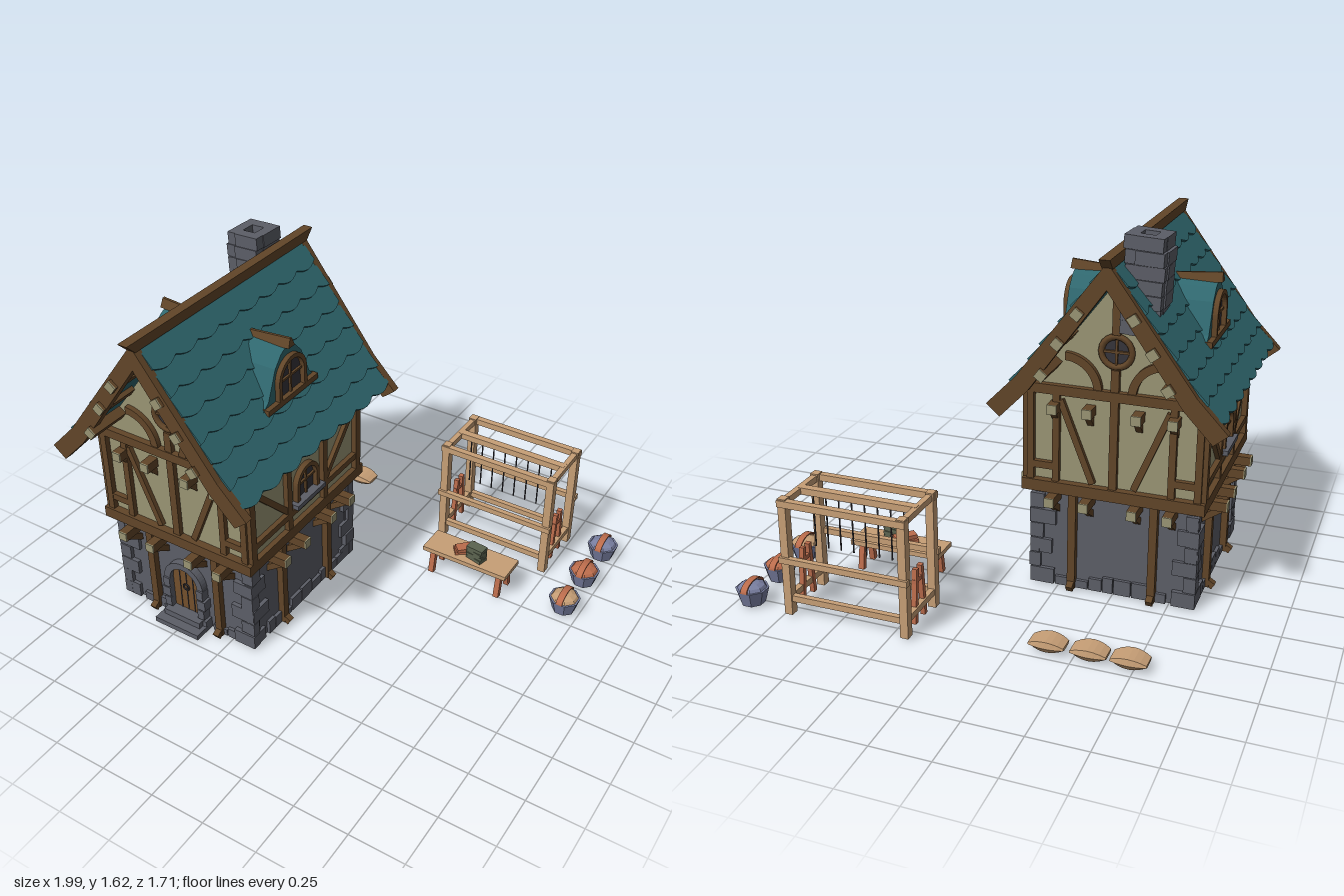
import * as THREE from 'three';

const M = {};
const paint = (name, hex) => { M[name] = new THREE.MeshStandardMaterial({ color: hex }); M[name].name = name; };
[['plaster', 0x9a9574], ['darkWood', 0x614528], ['stone', 0x5c5e67], ['roofTeal', 0x2f676e], ['paleWood', 0xc79f76],
  ['terracotta', 0xbb6c4c], ['slateBlue', 0x7a80a2], ['darkGlass', 0x36343a], ['moss', 0x5b6450], ['doorWood', 0x73502c]]
  .forEach(([n, h]) => paint(n, h));

let seed = 7;
const rnd = (a, b) => { seed = (seed * 16807) % 2147483647; return a + (b - a) * seed / 2147483647; };

function group(parent, name, x = 0, y = 0, z = 0, ry = 0) {
  const g = new THREE.Group();
  g.name = name; g.position.set(x, y, z); g.rotation.y = ry;
  parent.add(g);
  return g;
}
function add(parent, name, geo, mat, x = 0, y = 0, z = 0) {
  const m = new THREE.Mesh(geo, mat);
  m.name = name; m.position.set(x, y, z);
  parent.add(m);
  return m;
}
const box = (p, n, mat, w, h, d, x, y, z) => add(p, n, new THREE.BoxGeometry(w, h, d), mat, x, y, z);
const extrude = (shape, depth) => new THREE.ExtrudeGeometry(shape, { depth, bevelEnabled: false, curveSegments: 10 });
const poly = pts => new THREE.Shape(pts.map(p => new THREE.Vector2(p[0], p[1])));
const mirrored = pts => poly([...pts, ...pts.slice().reverse().filter(p => p[0] !== 0).map(p => [-p[0], p[1]])]);
const flat = g => { const f = g.toNonIndexed(); f.computeVertexNormals(); return f; };

// Straight timber between two points of a wall face
function beam(p, n, x1, y1, x2, y2, w, z, d = 0.03, mat = M.darkWood) {
  const m = box(p, n, mat, Math.hypot(x2 - x1, y2 - y1), w, d, (x1 + x2) / 2, (y1 + y2) / 2, z);
  m.rotation.z = Math.atan2(y2 - y1, x2 - x1);
}
// Rod of square section between two points in space
function rod(p, n, mat, a, b, t) {
  const A = new THREE.Vector3(...a), B = new THREE.Vector3(...b), d = B.clone().sub(A);
  const m = box(p, n, mat, t, d.length(), t, 0, 0, 0);
  m.position.copy(A).add(B).multiplyScalar(0.5);
  m.quaternion.setFromUnitVectors(new THREE.Vector3(0, 1, 0), d.normalize());
}
const arch = (w, h, S = THREE.Shape) => {
  const s = new S();
  s.moveTo(-w, 0); s.lineTo(w, 0); s.lineTo(w, h); s.absarc(0, h, w, 0, Math.PI, false); s.lineTo(-w, 0);
  return s;
};
const ring = (r1, r2, a, b) => {
  const s = new THREE.Shape();
  s.absarc(0, 0, r2, a, b, false); s.absarc(0, 0, r1, b, a, true); s.closePath();
  return s;
};
function archFrame(p, n, mat, w, h, t, depth, y, z) {
  const s = arch(w, h);
  s.holes.push(arch(w - t, h, THREE.Path));
  add(p, n, extrude(s, depth), mat, 0, y, z);
}
function archWindow(p, w, h, y, z) {
  const g = group(p, 'archedWindow', 0, y, z);
  archFrame(g, 'windowFrame', M.darkWood, w, h, 0.02, 0.03, 0, 0);
  add(g, 'glass', new THREE.ShapeGeometry(arch(w - 0.015, h)), M.darkGlass, 0, 0, 0.008);
  box(g, 'mullion', M.darkWood, 0.01, h + w - 0.01, 0.012, 0, (h + w) / 2, 0.012);
  box(g, 'transom', M.darkWood, 2 * w - 0.02, 0.01, 0.012, 0, h, 0.012);
}
// Joist end with pale cut face and a brace below
function joist(p, x, y, z0, z1) {
  const g = group(p, 'joist', x, y, 0);
  box(g, 'joistBeam', M.darkWood, 0.042, 0.042, z1 - z0, 0, 0, (z0 + z1) / 2);
  box(g, 'joistEnd', M.plaster, 0.042, 0.042, 0.006, 0, 0, z1 + 0.003);
  rod(g, 'joistBrace', M.darkWood, [0, -0.075, z0 - 0.01], [0, -0.015, z1 - 0.025], 0.028);
}

// Ground-floor face: posts, joists, corner stones and base stones
function stoneFace(p, half, z, out) {
  for (const s of [-1, 1]) {
    box(p, 'groundPost', M.darkWood, 0.035, 0.46, 0.04, s * 0.18, 0.23, z + 0.01);
    rod(p, 'postFoot', M.darkWood, [s * 0.18, 0.005, z + 0.05], [s * 0.18, 0.035, z], 0.03);
    for (const x of [0.105, 0.257]) joist(p, s * x, 0.435, z, out);
    for (let i = 0; i < 6; i++) {
      const w = (i % 2 ? 0.055 : 0.1) + rnd(-0.015, 0.02), h = rnd(0.062, 0.072);
      box(p, 'cornerStone', M.stone, w, h, 0.04, s * (half + 0.012 - w / 2), 0.035 + i * 0.072, z - 0.006 + rnd(0, 0.008));
    }
  }
  for (let x = -half + 0.1; x < half - 0.12;) {
    const w = rnd(0.045, 0.085), h = rnd(0.03, 0.075);
    if (Math.abs(x + w / 2) > 0.13 || half > 0.37 || p.name === 'backWall') box(p, 'baseStone', M.stone, w - 0.005, h, 0.09, x + w / 2, h / 2, z - 0.03);
    x += w;
  }
}
// Timber frame of a gable end
function gableFace(p, z) {
  beam(p, 'tieBeam', -0.385, 0.925, 0.385, 0.925, 0.042, z, 0.04);
  beam(p, 'centrePost', 0, 0.5, 0, 1.04, 0.035, z);
  beam(p, 'kingPost', 0, 1.19, 0, 1.43, 0.035, z);
  for (const s of [-1, 1]) {
    beam(p, 'stud', s * 0.252, 0.5, s * 0.252, 0.91, 0.03, z);
    beam(p, 'cornerPost', s * 0.365, 0.5, s * 0.365, 0.91, 0.03, z, 0.035);
    beam(p, 'brace', s * 0.235, 0.88, s * 0.09, 0.52, 0.028, z - 0.003);
    beam(p, 'shortRail', s * 0.25, 0.577, s * 0.37, 0.577, 0.032, z);
    const curve = add(p, 'curvedBrace', extrude(ring(0.125, 0.16, 0, Math.PI / 2), 0.03), M.darkWood, s * 0.215, 0.935, z - 0.015);
    if (s > 0) { curve.rotation.y = Math.PI; curve.position.z = z + 0.015; }
    for (const x of [0.105, 0.257]) joist(p, s * x, 0.85, z - 0.02, z + 0.055);
    for (const [x, y] of [[0.115, 1.31], [0.195, 1.18], [0.262, 1.04]]) {
      const purlin = group(p, 'purlin', s * x, y, 0);
      purlin.rotation.z = -s * 0.93;
      box(purlin, 'purlinBeam', M.darkWood, 0.042, 0.042, 0.19, 0, 0, z + 0.085);
      box(purlin, 'purlinEnd', M.plaster, 0.042, 0.042, 0.006, 0, 0, z + 0.183);
    }
  }
  // Round window
  add(p, 'roundWindowFrame', new THREE.TorusGeometry(0.065, 0.014, 6, 20), M.darkWood, 0, 1.115, z);
  add(p, 'roundGlass', new THREE.CircleGeometry(0.065, 20), M.darkGlass, 0, 1.115, z - 0.006);
  box(p, 'roundMullion', M.darkWood, 0.01, 0.125, 0.012, 0, 1.115, z);
  box(p, 'roundTransom', M.darkWood, 0.125, 0.01, 0.012, 0, 1.115, z);
}
// Timber frame of a long wall
function sideFace(p, z) {
  beam(p, 'sideRail', -0.42, 0.583, 0.42, 0.583, 0.03, z);
  for (const s of [-1, 1]) {
    beam(p, 'sideCornerPost', s * 0.407, 0.5, s * 0.407, 0.9, 0.036, z, 0.035);
    beam(p, 'sideStud', s * 0.138, 0.5, s * 0.138, 0.9, 0.032, z);
    beam(p, 'sideBrace', s * 0.39, 0.86, s * 0.15, 0.61, 0.028, z - 0.003);
  }
  archWindow(p, 0.085, 0.08, 0.612, z - 0.012);
  box(p, 'windowSill', M.stone, 0.215, 0.022, 0.045, 0, 0.608, z + 0.012);
}

// One roof slope of overlapping scalloped rows, with its dormer
function roofSlope(p) {
  const path = [[0, 1.5], [0.36, 1.02], [0.455, 0.905]].map(a => new THREE.Vector2(...a));
  const l1 = path[0].distanceTo(path[1]), total = l1 + path[1].distanceTo(path[2]), rows = 7, step = total / rows;
  const at = s => s < l1 ? path[0].clone().lerp(path[1], s / l1) : path[1].clone().lerp(path[2], (s - l1) / (total - l1));
  const Z = new THREE.Vector3(0, 0, 1), L = 0.555, n = 8, tile = 2 * L / n;
  for (let i = 0; i < rows; i++) {
    const a = at(i * step), b = at((i + 1) * step);
    const down = new THREE.Vector3(b.x - a.x, b.y - a.y, 0).normalize();
    const normal = new THREE.Vector3().crossVectors(Z, down);
    down.addScaledVector(normal, 0.1).normalize();
    normal.crossVectors(Z, down);
    const s = new THREE.Shape();
    s.moveTo(-L, 0); s.lineTo(L, 0);
    const N = n * 6;
    for (let k = 0; k <= N; k++) {
      const t = k / N * n + (i % 2) * 0.5;
      s.lineTo(L - k / N * n * tile, step - 0.004 + 0.022 * Math.abs(Math.sin(t * Math.PI)));
    }
    const m = add(p, 'shingleRow', extrude(s, 0.012), M.roofTeal);
    m.applyMatrix4(new THREE.Matrix4().makeBasis(Z, down, normal).setPosition(a.x, a.y, 0));
  }
  const d = group(p, 'dormer', 0, 0, 0, Math.PI / 2);
  const hood = mirrored([[0.215, 1.09], [0.15, 1.14], [0.12, 1.21], [0.095, 1.27], [0.05, 1.32], [0, 1.345]]);
  add(d, 'dormerHood', extrude(hood, 0.22), M.roofTeal, 0, 0, 0.095);
  archWindow(d, 0.1, 0.085, 1.115, 0.308);
  box(d, 'dormerSill', M.darkWood, 0.36, 0.026, 0.04, 0, 1.108, 0.318);
  const cap = add(d, 'dormerRidge', extrude(poly([[-0.022, 0], [0.022, 0], [0.006, 0.04], [-0.006, 0.04]]), 0.21), M.darkWood, 0, 1.32, 0.125);
  cap.rotation.x = -0.08;
}

function buildHouse(root) {
  const h = group(root, 'house', -0.495, 0, 0.23);
  for (const s of [-1, 1]) {
    box(h, 'stoneWall', M.stone, 0.72, 0.46, 0.04, 0, 0.23, s * 0.37);
    box(h, 'stoneSideWall', M.stone, 0.04, 0.46, 0.71, s * 0.335, 0.23, 0);
    box(h, 'bandBeam', M.darkWood, 0.8, 0.052, 0.05, 0, 0.484, s * 0.42);
    box(h, 'bandSideBeam', M.darkWood, 0.05, 0.052, 0.89, s * 0.375, 0.484, 0);
  }
  // Plastered upper floor and gables in one body
  add(h, 'upperWalls', extrude(mirrored([[0.375, 0.46], [0.375, 0.92], [0, 1.42]]), 0.82), M.plaster, 0, 0, -0.41);
  for (const [n, ry] of [['front', 0], ['back', Math.PI]]) {
    const g = group(h, n + 'Wall', 0, 0, 0, ry);
    stoneFace(g, 0.36, 0.39, 0.497);
    gableFace(g, 0.418);
    // Bargeboards
    const board = mirrored([[0, 1.52], [0.38, 1.015], [0.505, 0.885], [0.445, 0.835], [0.325, 0.965], [0, 1.415]].slice(0, 3));
    const edge = [[0, 1.525], [0.375, 1.02], [0.505, 0.885], [0.445, 0.835], [0.325, 0.96], [0, 1.415],
      [-0.325, 0.96], [-0.445, 0.835], [-0.505, 0.885], [-0.375, 1.02]];
    if (board) add(g, 'bargeboard', extrude(poly(edge), 0.038), M.darkWood, 0, 0, 0.546);
  }
  for (const [n, ry] of [['left', 0], ['right', Math.PI]]) {
    const g = group(h, n + 'Side', 0, 0, 0, ry + Math.PI / 2);
    stoneFace(g, 0.395, 0.355, 0.457);
    sideFace(g, 0.383);
    roofSlope(group(h, n + 'Roof', 0, 0, 0, ry));
  }
  const deck = [[0, 1.5], [0.36, 1.015], [0.455, 0.9], [0.43, 0.88], [0.335, 0.99], [0, 1.44],
    [-0.335, 0.99], [-0.43, 0.88], [-0.455, 0.9], [-0.36, 1.015]];
  add(h, 'roofDeck', extrude(poly(deck), 1.1), M.roofTeal, 0, 0, -0.55);
  const ridge = group(h, 'ridge', 0, 0, 0, Math.PI / 2);
  add(ridge, 'ridgeBeam', extrude(poly([[-0.58, 1.5], [0.58, 1.5], [0.625, 1.545], [-0.625, 1.545]]), 0.045), M.darkWood, 0, 0, -0.0225);

  // Door, surround and steps
  const d = group(h, 'entrance', 0, 0, 0.39);
  archFrame(d, 'doorSurround', M.stone, 0.107, 0.225, 0.032, 0.035, 0, 0);
  for (let i = 0; i < 4; i++) for (const s of [-1, 1])
    box(d, 'jambStone', M.stone, i % 2 ? 0.035 : 0.045, 0.05, 0.045, s * (i % 2 ? 0.092 : 0.097), 0.03 + i * 0.056, 0.02);
  add(d, 'door', extrude(arch(0.076, 0.225), 0.012), M.doorWood);
  for (const x of [-0.036, 0, 0.036]) box(d, 'plankGap', M.darkGlass, 0.004, 0.24, 0.004, x, 0.165, 0.013);
  add(d, 'doorRing', new THREE.TorusGeometry(0.016, 0.004, 5, 12), M.darkGlass, 0, 0.19, 0.017);
  box(d, 'upperStep', M.stone, 0.2, 0.055, 0.075, 0, 0.0275, 0.03);
  box(d, 'lowerStep', M.stone, 0.24, 0.025, 0.115, 0, 0.0125, 0.052);

  // Hollow, slightly leaning chimney laid in courses
  const c = group(h, 'chimney', -0.095, 1.2, -0.37);
  c.rotation.z = 0.05;
  for (let i = 0; i < 7; i++) {
    const course = group(c, 'chimneyCourse', rnd(-0.005, 0.005), 0.029 + i * 0.058, 0, (i % 2) * Math.PI / 2 + rnd(-0.04, 0.04));
    for (let k = 0; k < 4; k++) {
      const side = group(course, 'chimneySide', 0, 0, 0, k * Math.PI / 2);
      box(side, 'chimneyStone', M.stone, 0.118, 0.056, 0.05, 0.02, 0, 0.058 + rnd(-0.002, 0.004));
    }
  }
}

function buildRack(root) {
  const r = group(root, 'dryingRack', 0.455, 0, -0.67);
  for (const sx of [-1, 1]) {
    for (const sz of [-1, 1]) box(r, 'rackPost', M.paleWood, 0.036, 0.535, 0.04, sx * 0.27, 0.2675, sz * 0.135);
    for (const y of [0.075, 0.515]) box(r, 'endRail', M.paleWood, 0.026, 0.028, 0.29, sx * 0.27, y, 0);
    for (const s of [-1, 1]) rod(r, 'trestleLeg', M.terracotta, [sx * 0.265, 0.01, s * 0.045], [sx * 0.265, 0.255, s * 0.022], 0.022);
    box(r, 'trestleBar', M.terracotta, 0.018, 0.018, 0.08, sx * 0.265, 0.2, 0);
    box(r, 'longTopRail', M.paleWood, 0.58, 0.03, 0.03, 0, 0.515, sx * 0.145);
    box(r, 'longMiddleRail', M.paleWood, 0.59, 0.027, 0.025, 0, 0.257, sx * 0.153);
    box(r, 'longBottomRail', M.paleWood, 0.53, 0.028, 0.025, 0, 0.075, sx * 0.135);
  }
  box(r, 'centreRail', M.paleWood, 0.55, 0.03, 0.036, 0, 0.515, 0);
  for (let i = 0; i < 8; i++) box(r, 'cord', M.darkGlass, 0.005, 0.25, 0.005, -0.21 + i * 0.06, 0.385, 0);
}

function buildBench(root) {
  const b = group(root, 'bench', 0.452, 0, -0.3);
  box(b, 'benchTop', M.paleWood, 0.43, 0.022, 0.145, 0, 0.133, 0);
  for (const x of [-0.172, 0.172]) {
    for (const s of [-1, 1]) rod(b, 'benchLeg', M.terracotta, [x, 0, s * 0.055], [x, 0.122, s * 0.035], 0.026);
    box(b, 'benchStretcher', M.terracotta, 0.018, 0.018, 0.08, x, 0.09, 0);
  }
  const bundle = (mat, w, d, x, y, z, ry) => { box(b, 'foldedCloth', mat, w, 0.017, d, x, y, z).rotation.y = ry; };
  for (let i = 0; i < 2; i++) bundle(M.terracotta, 0.1, 0.05, -0.03 + i * 0.008, 0.153 + i * 0.018, 0.0, 0.65 + i * 0.15);
  for (let i = 0; i < 4; i++) bundle(M.moss, 0.085, 0.05, 0.04, 0.153 + i * 0.018, 0.02, -0.25 + (i % 2) * 0.15);
}

function buildBucket(root, z, fill) {
  const b = group(root, 'bucket', 0.925, 0, z);
  add(b, 'bucketBody', flat(new THREE.CylinderGeometry(0.073, 0.053, 0.07, 8).rotateY(Math.PI / 8)), M.slateBlue, 0, 0.035, 0);
  const mound = flat(new THREE.SphereGeometry(0.064, 8, 3, 0, Math.PI * 2, 0, Math.PI / 2).rotateY(Math.PI / 8).scale(1, 0.4, 1));
  add(b, 'bucketContents', mound, fill, 0, 0.07, 0);
  add(b, 'bucketHandle', extrude(ring(0.062, 0.07, 0, Math.PI), 0.03).scale(1, 0.56, 1).rotateY(Math.PI / 2), M.terracotta, -0.015, 0.07, 0);
}

// Boat-shaped loaf: a box bulged in the middle and pinched at the ends
function buildLoaf(root, x) {
  const g = new THREE.BoxGeometry(0.15, 0.055, 0.082, 6, 2, 2), p = g.attributes.position;
  for (let i = 0; i < p.count; i++) {
    const k = 1 - (p.getX(i) / 0.075) ** 2, y = p.getY(i);
    p.setZ(i, p.getZ(i) * (1 + 0.3 * k) * (y < -0.01 ? 0.6 : y > 0.01 ? 0.9 : 1));
    p.setY(i, y * (0.25 + 0.75 * k));
  }
  add(root, 'loaf', flat(g), [M.paleWood, M.paleWood, M.paleWood, M.terracotta, M.paleWood, M.paleWood], x, 0.03, -0.687);
}

export function createModel() {
  const root = new THREE.Group();
  root.name = 'dyersCottage';
  buildHouse(root);
  buildRack(root);
  buildBench(root);
  [[-0.785, M.slateBlue], [-0.56, M.terracotta], [-0.335, M.paleWood]].forEach(([z, m]) => buildBucket(root, z, m));
  [-0.732, -0.566, -0.39].forEach(x => buildLoaf(root, x));
  return root;
}
